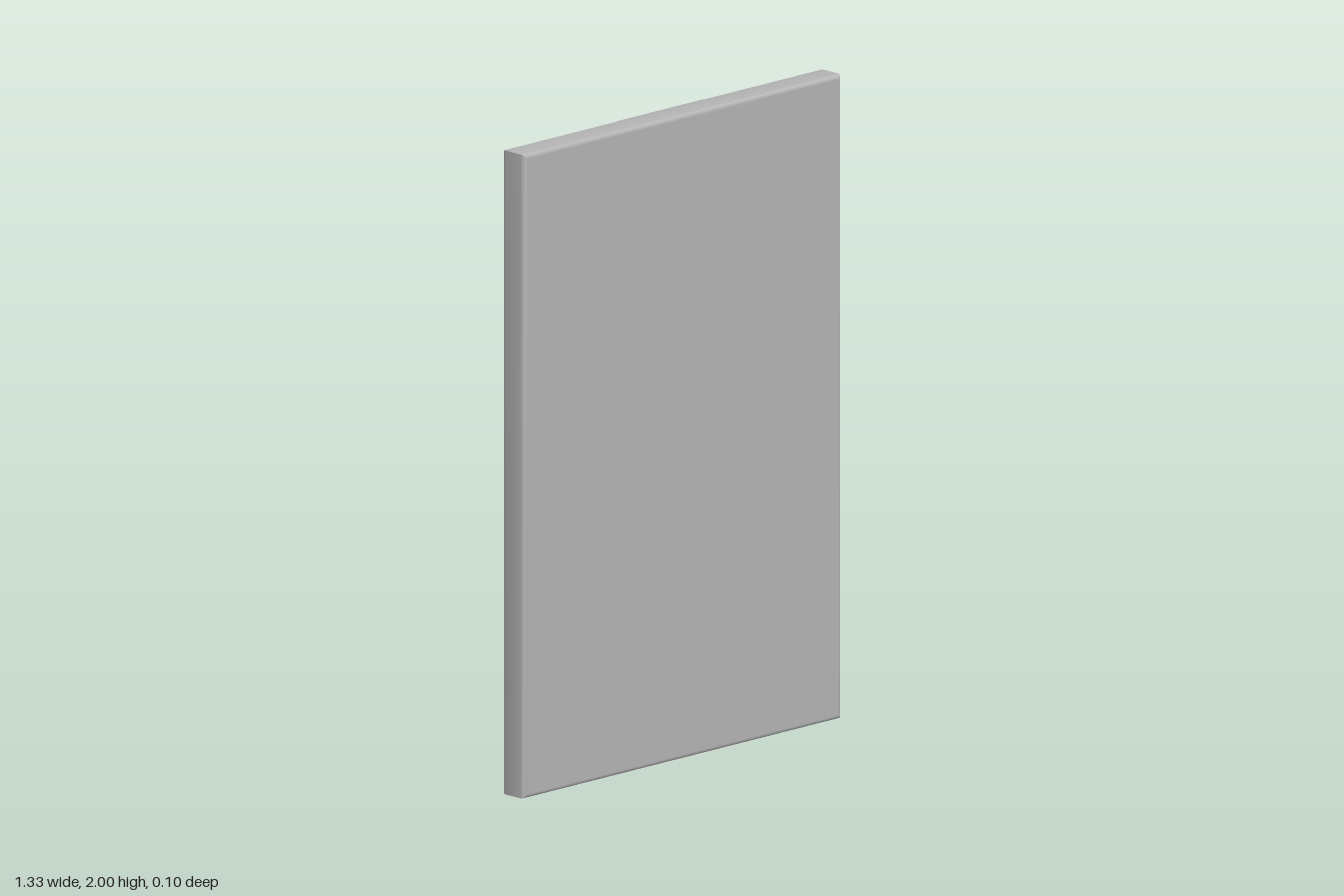
import * as THREE from 'three';
import { toCreasedNormals } from 'three/addons/utils/BufferGeometryUtils.js';

const W = 0.665, H = 1, FRONT = 0.05, BACK = -0.044;

// Sweeps a profile of [inset, z] points around the rectangle with mitred corners.
function sweepRect(profile) {
  const corners = [[1, 1], [-1, 1], [-1, -1], [1, -1]];
  const pos = [];
  const at = ([d, z], [sx, sy]) => [sx * (W - d), H + sy * (H - d), z];
  corners.forEach((a, i) => {
    const b = corners[(i + 1) % 4];
    for (let j = 0; j < profile.length - 1; j++) {
      const p = at(profile[j], a), q = at(profile[j], b);
      const r = at(profile[j + 1], b), s = at(profile[j + 1], a);
      pos.push(...p, ...s, ...r, ...p, ...r, ...q);
    }
  });
  const g = new THREE.BufferGeometry();
  g.setAttribute('position', new THREE.Float32BufferAttribute(pos, 3));
  return toCreasedNormals(g, 0.6);
}

// Quarter-round points between two angles for the soft canvas edges.
function arc(d, z, r, from, to) {
  return Array.from({ length: 6 }, (_, i) => {
    const a = from + (to - from) * i / 5;
    return [d - r * Math.cos(a), z + r * Math.sin(a)];
  });
}

export function createModel() {
  const model = new THREE.Group();
  const grey = new THREE.MeshStandardMaterial({ color: 0xb4b4b4 });
  grey.name = 'neutral grey';
  const add = (name, geometry, x = 0, y = 0, z = 0) => {
    const mesh = new THREE.Mesh(geometry, grey);
    mesh.name = name;
    mesh.position.set(x, y, z);
    model.add(mesh);
    return mesh;
  };

  // Canvas wrapped around the edges and folded over onto the back
  const r = 0.013;
  add('wrappedCanvas', sweepRect([
    ...arc(r, FRONT - r, r, Math.PI / 2, 0),
    ...arc(r, BACK + r, r, 0, -Math.PI / 2),
    [0.052, BACK], [0.052, BACK + 0.004],
  ]));

  // Stretcher bars: back ledge, inner edge and inner wall
  add('stretcherBars', sweepRect([
    [0.052, BACK + 0.004], [0.064, BACK + 0.004],
    [0.068, BACK + 0.008], [0.068, FRONT - 0.004],
  ]));

  // Stretched canvas, seen from the front and from inside the frame
  add('canvasFront', new THREE.PlaneGeometry(2 * (W - r), 2 * (H - r)), 0, H, FRONT);
  add('canvasBack', new THREE.PlaneGeometry(2 * (W - 0.068), 2 * (H - 0.068)), 0, H, FRONT - 0.004)
    .rotation.y = Math.PI;

  // Corner key slots on the inner walls
  for (const sx of [-1, 1]) for (const sy of [-1, 1]) {
    add('sideKey', new THREE.BoxGeometry(0.004, 0.08, 0.01), sx * (W - 0.068), H + sy * 0.87, 0);
    add('endKey', new THREE.BoxGeometry(0.08, 0.004, 0.01), sx * 0.535, H + sy * (H - 0.068), 0);
  }

  // Hanging plate with tapered sides and rounded lower corners
  const s = new THREE.Shape();
  s.moveTo(-0.18, 1.995);
  s.lineTo(-0.18, 1.91);
  s.quadraticCurveTo(-0.18, 1.895, -0.174, 1.88);
  s.lineTo(-0.138, 1.785);
  s.quadraticCurveTo(-0.128, 1.762, -0.105, 1.762);
  s.lineTo(0.105, 1.762);
  s.quadraticCurveTo(0.128, 1.762, 0.138, 1.785);
  s.lineTo(0.174, 1.88);
  s.quadraticCurveTo(0.18, 1.895, 0.18, 1.91);
  s.lineTo(0.18, 1.995);
  s.closePath();
  add('hangingPlate', new THREE.ExtrudeGeometry(s, { depth: 0.006, bevelEnabled: false, curveSegments: 8 }),
    0, 0, BACK - 0.006);

  // Two screw heads
  for (const x of [-0.115, 0.115]) {
    add('screwHead', new THREE.CylinderGeometry(0.013, 0.009, 0.004, 20), x, 1.965, BACK - 0.007)
      .rotation.x = Math.PI / 2;
  }
  return model;
}
